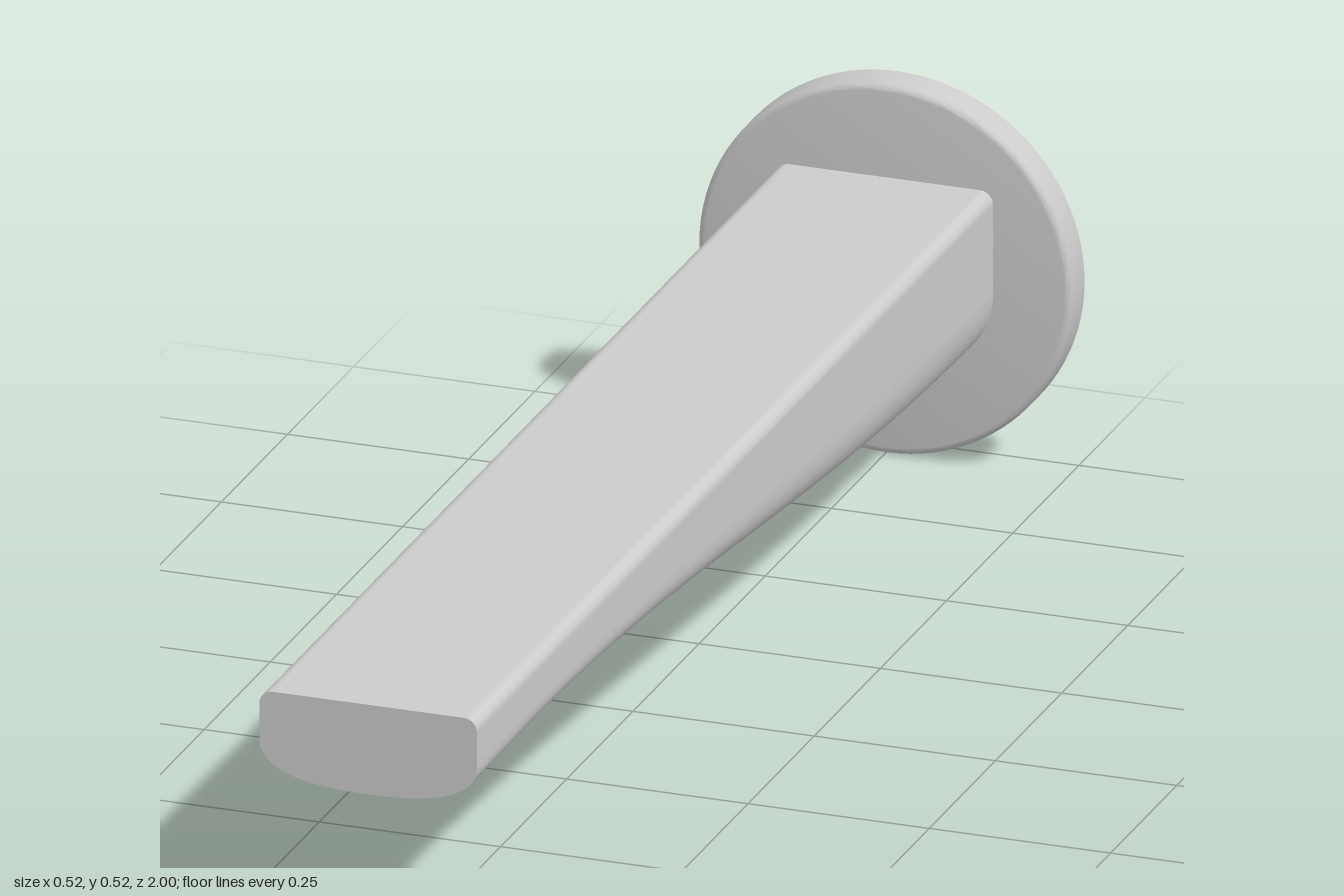
import * as THREE from 'three';
import { toCreasedNormals } from 'three/addons/utils/BufferGeometryUtils.js';

const HALF = 0.15, TOP = 0.387, BACK = -0.96, FRONT = 1, AXIS = 0.258;
const grey = new THREE.MeshStandardMaterial({ color: 0xcccccc });
const dark = new THREE.MeshStandardMaterial({ color: 0x222222 });

// Cross-section at z: flat top with small round corners, full superelliptic belly
function section(z) {
  const t = THREE.MathUtils.clamp((0.8 - z) / 1.75, 0, 1);
  const drop = (1 - Math.cos(Math.PI * t)) / 2;
  const lip = 0.003 * THREE.MathUtils.smoothstep(z, 0.75, 1);
  const bottom = 0.265 - 0.131 * drop - lip;
  const depth = 0.06 + 0.06 * drop;
  const points = [];
  const r = 0.018;
  for (const side of [1, -1]) {
    for (let i = 0; i <= 6; i++) {
      const a = (i / 6) * Math.PI / 2 + (side < 0 ? Math.PI / 2 : 0);
      points.push(new THREE.Vector2(side * (HALF - r) + r * Math.cos(a), TOP - r + r * Math.sin(a)));
    }
  }
  const n = 40;
  for (let i = 0; i <= n; i++) {
    const a = Math.PI + (i / n) * Math.PI;
    const c = Math.cos(a), s = Math.abs(Math.sin(a));
    points.push(new THREE.Vector2(
      HALF * Math.sign(c) * Math.abs(c) ** 0.8,
      bottom + depth - depth * s ** 0.8));
  }
  return points;
}

// Skin lofted through the sections from wall to tip
function loftGeometry(steps) {
  const position = [], index = [];
  let count = 0;
  for (let i = 0; i <= steps; i++) {
    const z = THREE.MathUtils.lerp(BACK, FRONT, i / steps);
    const ring = section(z);
    count = ring.length;
    for (const p of ring) position.push(p.x, p.y, z);
  }
  for (let i = 0; i < steps; i++) {
    for (let j = 0; j < count; j++) {
      const k = (j + 1) % count;
      const a = i * count + j, b = i * count + k;
      index.push(a, b, b + count, a, b + count, a + count);
    }
  }
  const geometry = new THREE.BufferGeometry();
  geometry.setAttribute('position', new THREE.Float32BufferAttribute(position, 3));
  geometry.setIndex(index);
  geometry.computeVertexNormals();
  return geometry;
}

function addMesh(parent, name, geometry, material = grey) {
  const mesh = new THREE.Mesh(geometry, material);
  mesh.name = name;
  parent.add(mesh);
  return mesh;
}

export function createModel() {
  const model = new THREE.Group();
  model.name = 'wallSpout';

  // Round wall plate with an eased front rim
  const R = 0.258, T = 0.05, e = 0.01;
  const profile = [new THREE.Vector2(0, 0), new THREE.Vector2(R, 0)];
  for (let i = 0; i <= 5; i++) {
    const a = (i / 5) * Math.PI / 2;
    profile.push(new THREE.Vector2(R - e + e * Math.cos(a), T - e + e * Math.sin(a)));
  }
  profile.push(new THREE.Vector2(0, T));
  const plate = addMesh(model, 'wallPlate', toCreasedNormals(new THREE.LatheGeometry(profile, 96), 0.6));
  plate.rotation.x = Math.PI / 2;
  plate.position.set(0, AXIS, -1);

  // Spout body and its flat end face
  const spout = new THREE.Group();
  spout.name = 'spout';
  model.add(spout);
  addMesh(spout, 'spoutBody', loftGeometry(64));
  const tip = addMesh(spout, 'spoutTip', new THREE.ShapeGeometry(new THREE.Shape(section(FRONT))));
  tip.position.z = FRONT;

  // Dark water outlet, tilted slightly forward under the tip
  const outlet = addMesh(model, 'waterOutlet', new THREE.CylinderGeometry(0.055, 0.055, 0.03, 40), dark);
  outlet.position.set(0, 0.2735, 0.88);
  outlet.rotation.x = 0.07;

  return model;
}
